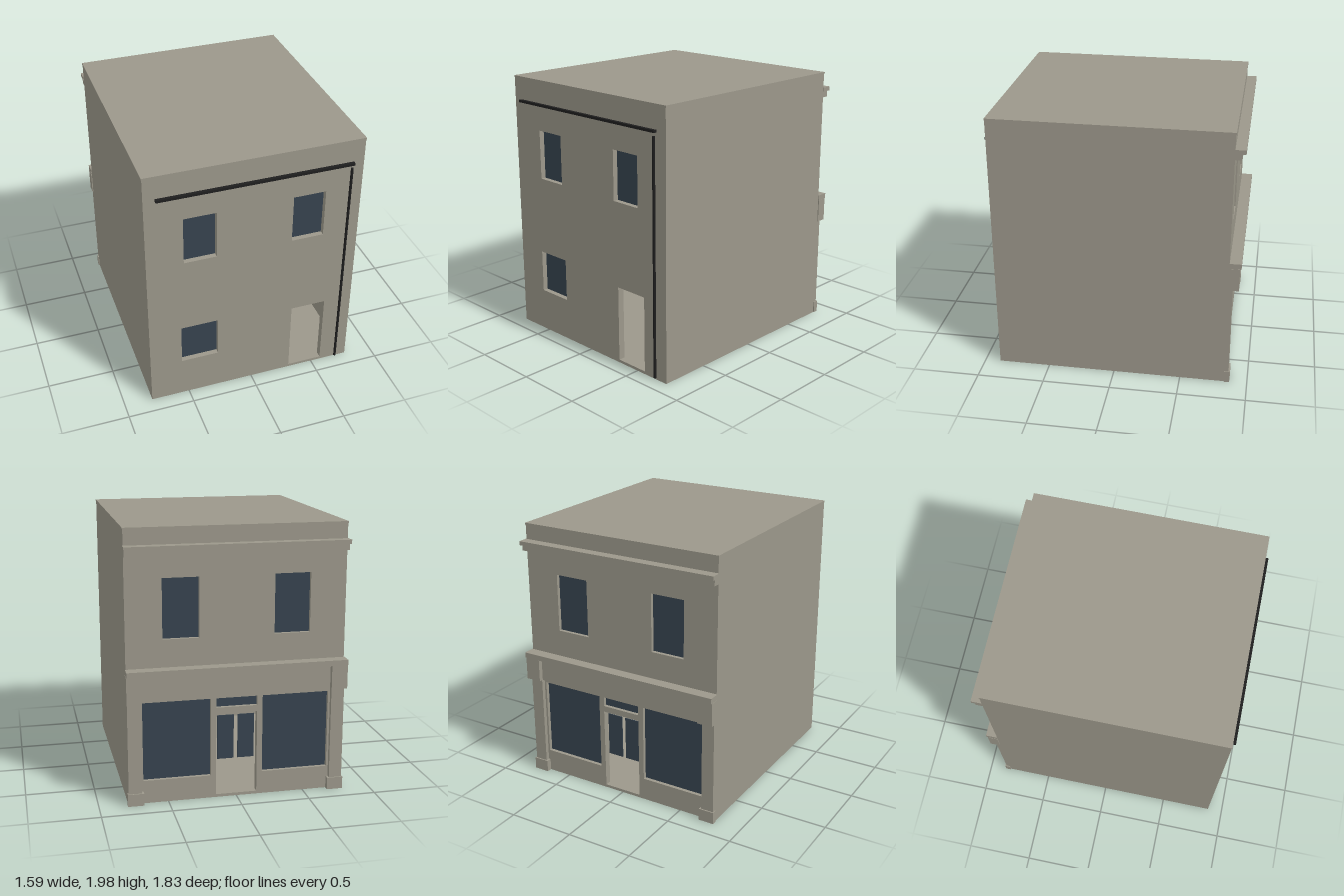
import * as THREE from 'three';

const mat = (name, color) => new THREE.MeshStandardMaterial({ name, color, side: THREE.DoubleSide });

export function createModel() {
  const stone = mat('stone', 0x9b978a);
  const glass = mat('glass', 0x36434f);
  const iron = mat('black iron', 0x1e1e1e);

  const model = new THREE.Group();
  model.name = 'shopBuilding';

  const add = (name, geometry, material) => {
    const mesh = new THREE.Mesh(geometry, material);
    mesh.name = name;
    model.add(mesh);
    return mesh;
  };
  // Box given by its limits on each axis
  const box = (name, x0, x1, y0, y1, z0, z1, material = stone) => {
    const g = new THREE.BoxGeometry(x1 - x0, y1 - y0, z1 - z0);
    g.translate((x0 + x1) / 2, (y0 + y1) / 2, (z0 + z1) / 2);
    return add(name, g, material);
  };
  const rect = (path, x0, x1, y0, y1) => {
    path.moveTo(x0, y0);
    path.lineTo(x1, y0);
    path.lineTo(x1, y1);
    path.lineTo(x0, y1);
    path.closePath();
    return path;
  };

  const W = 0.79, FRONT = 0.885, BACK = -0.83, T = 0.05, FLOOR = 0.02, ROOF = 1.965;

  // Wall with rectangular openings
  const wall = (name, z, openings) => {
    const shape = rect(new THREE.Shape(), -W, W, FLOOR, ROOF);
    for (const o of openings) shape.holes.push(rect(new THREE.Path(), ...o));
    const g = new THREE.ExtrudeGeometry(shape, { depth: T, bevelEnabled: false });
    g.translate(0, 0, z);
    add(name, g, stone);
  };
  // Thin pane
  const pane = (name, [x0, x1, y0, y1], z) => box(name, x0, x1, y0, y1, z - 0.003, z + 0.003, glass);

  // Shell
  box('floor', -W, W, 0, FLOOR, BACK, FRONT);
  box('roof', -W - 0.003, W + 0.003, ROOF, 1.98, BACK - 0.004, FRONT + 0.002);
  for (const s of [-1, 1]) {
    const x = s * (W - 0.01);
    box('sideWall', x - 0.01, x + 0.01, FLOOR, ROOF, BACK + T, FRONT - T);
  }

  // Yard side: three windows and an open doorway
  const yardWindows = [
    [-0.52, -0.28, 1.23, 1.6],
    [0.28, 0.52, 1.23, 1.6],
    [-0.55, -0.27, 0.32, 0.64],
  ];
  wall('yardWall', FRONT - T, [...yardWindows, [0.31, 0.575, 0.021, 0.59]]);
  yardWindows.forEach((o) => pane('yardWindow', o, FRONT - 0.042));

  // Street side: upper windows, shop windows, transom and doorway
  const streetWindows = [];
  for (const s of [-1, 1]) {
    const span = (a, b) => (s > 0 ? [a, b] : [-b, -a]);
    streetWindows.push([...span(0.27, 0.53), 1.2, 1.63]);
    streetWindows.push([...span(0.19, 0.68), 0.17, 0.75]);
  }
  const transom = [-0.15, 0.15, 0.68, 0.75];
  wall('streetWall', BACK, [...streetWindows, transom, [-0.15, 0.15, 0.021, 0.635]]);
  streetWindows.forEach((o) => pane('streetWindow', o, BACK + 0.03));
  pane('transomWindow', transom, BACK + 0.03);
  pane('doorPane', [-0.135, -0.014, 0.28, 0.61], BACK + 0.035);
  pane('doorPane', [0.014, 0.135, 0.28, 0.61], BACK + 0.035);

  // Shopfront pilasters with plinths and brackets
  for (const s of [-1, 1]) {
    const part = (name, a, b, y0, y1, z) =>
      box(name, s > 0 ? a : -b, s > 0 ? b : -a, y0, y1, z, BACK);
    part('pilaster', 0.695, 0.79, 0, 0.785, -0.86);
    part('plinth', 0.68, 0.797, 0, 0.09, -0.87);
    part('bracket', 0.68, 0.797, 0.785, 0.96, -0.905);
  }

  // Fascia, its capping and the upper cornice
  box('fascia', -0.68, 0.68, 0.785, 0.96, -0.87, BACK);
  box('fasciaCap', -0.795, 0.795, 0.96, 1.0, -0.915, BACK);
  box('corniceLower', -W, W, 1.785, 1.83, -0.88, BACK);
  box('corniceUpper', -0.795, 0.795, 1.83, 1.86, -0.905, BACK);

  // Gutter and drainpipe
  box('gutter', -0.71, 0.71, 1.791, 1.809, 0.89, 0.916, iron);
  const pipe = new THREE.CylinderGeometry(0.01, 0.01, 1.745, 8);
  pipe.translate(0.695, 0.8925, 0.903);
  add('drainpipe', pipe, iron);

  return model;
}
